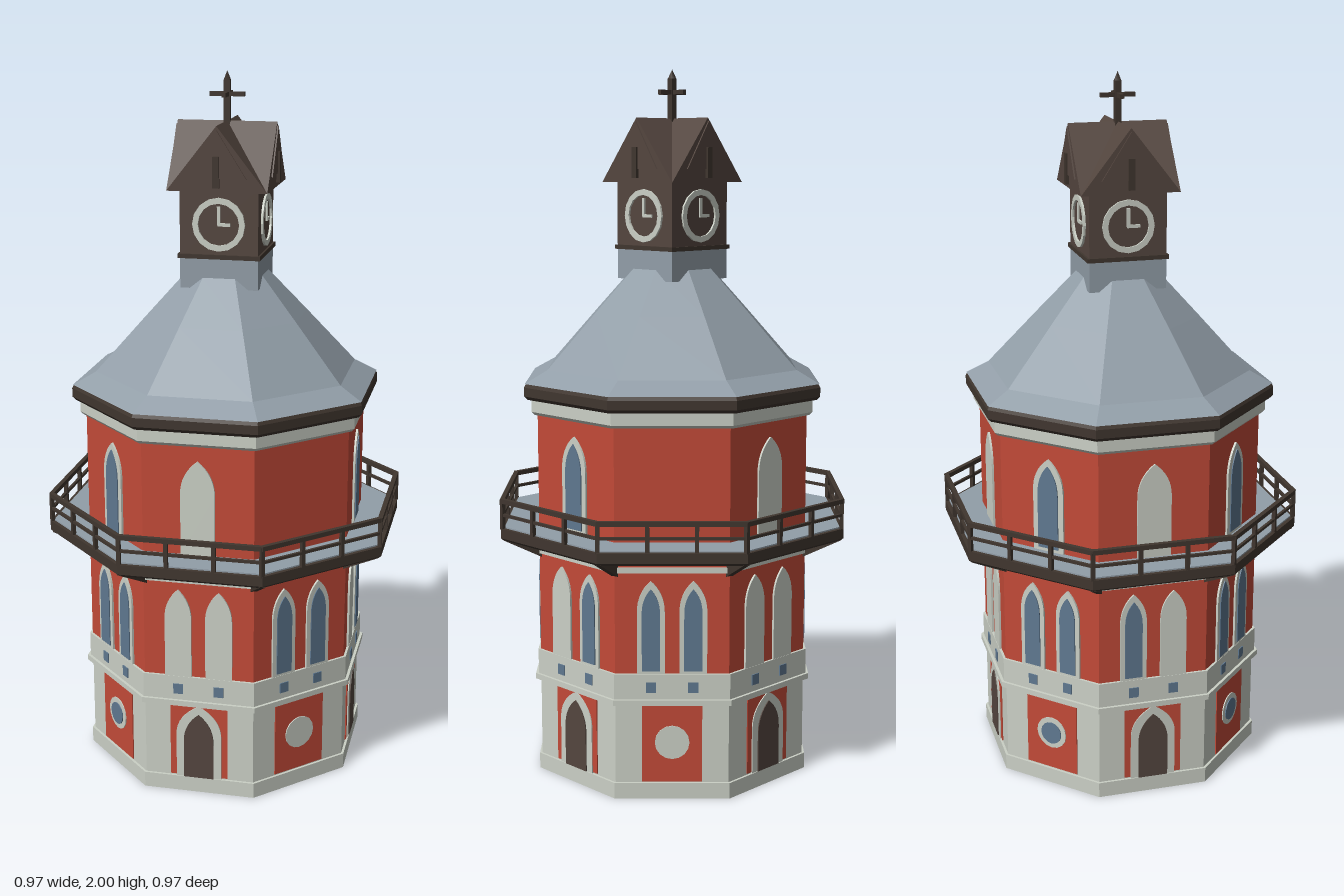
import * as THREE from 'three';

const mat = (name, color) => { const m = new THREE.MeshStandardMaterial({ color }); m.name = name; return m; };

export function createModel() {
  const red = mat('red brick', 0xc24a38), cream = mat('cream stone', 0xcbd0c6), slate = mat('grey slate', 0x929ea8);
  const brown = mat('brown timber', 0x54463f), dark = mat('dark timber', 0x40362f), glass = mat('blue glass', 0x5f7890);
  const root = new THREE.Group();
  root.name = 'clockTower';
  const TAN = Math.tan(Math.PI / 8), COS = Math.cos(Math.PI / 8);

  const add = (parent, name, geo, material, x = 0, y = 0, z = 0) => {
    const m = new THREE.Mesh(geo, material);
    m.name = name;
    m.position.set(x, y, z);
    parent.add(m);
    return m;
  };
  const box = (parent, name, material, w, h, d, x, y, z) =>
    add(parent, name, new THREE.BoxGeometry(w, h, d), material, x, y, z);

  // Closed octagonal solid from [apothem, y] pairs, with flat faces
  const octagon = (name, material, profile) => {
    const pts = profile.map(([r, y]) => new THREE.Vector2(r / COS, y));
    pts.unshift(new THREE.Vector2(0, pts[0].y));
    pts.push(new THREE.Vector2(0, pts[pts.length - 1].y));
    const geo = new THREE.LatheGeometry(pts, 8, Math.PI / 8).toNonIndexed();
    geo.computeVertexNormals();
    return add(root, name, geo, material);
  };
  const turned = (name, angle) => {
    const g = new THREE.Group();
    g.name = name;
    g.rotation.y = angle;
    root.add(g);
    return g;
  };
  const extrude = (shape, depth) => new THREE.ExtrudeGeometry(shape, { depth, bevelEnabled: false, curveSegments: 8 });

  // Pointed arch plate
  const arch = (parent, name, material, x, w, y0, spring, top, z, depth) => {
    const s = new THREE.Shape();
    const c = spring + (top - spring) * 0.62;
    s.moveTo(-w, y0);
    s.lineTo(w, y0);
    s.lineTo(w, spring);
    s.quadraticCurveTo(w, c, 0, top);
    s.quadraticCurveTo(-w, c, -w, spring);
    add(parent, name, extrude(s, depth), material, x, 0, z);
  };
  const disc = (parent, name, material, r, y, z, depth) => {
    const s = new THREE.Shape();
    s.absarc(0, 0, r, 0, Math.PI * 2);
    add(parent, name, extrude(s, depth), material, 0, y, z);
  };

  // Tower storeys, bands and roof
  const W = 0.378;
  octagon('plinth', cream, [[0.385, 0], [0.385, 0.045]]);
  octagon('groundFloor', cream, [[W, 0.045], [W, 0.275]]);
  octagon('beltLedge', cream, [[0.393, 0.272], [0.393, 0.288]]);
  octagon('belt', cream, [[0.385, 0.288], [0.385, 0.36]]);
  octagon('middleFloor', red, [[W, 0.36], [W, 0.70]]);
  octagon('stringCourse', cream, [[0.385, 0.645], [0.385, 0.66]]);
  octagon('balconySlab', dark, [[0.475, 0.69], [0.483, 0.697], [0.483, 0.725]]);
  octagon('balconyFloor', slate, [[0.472, 0.72], [0.472, 0.729]]);
  octagon('upperFloor', red, [[W, 0.725], [W, 1.05]]);
  octagon('cornice', cream, [[0.386, 1.043], [0.394, 1.052], [0.394, 1.09]]);
  octagon('eaves', dark, [[0.405, 1.087], [0.414, 1.097], [0.414, 1.122], [0.408, 1.134]]);
  octagon('roof', slate, [[0.412, 1.132], [0.35, 1.168], [0.215, 1.325], [0.11, 1.445]]);

  // Per side, from the front turning to +x: middle panes (1 glazed) and top window (null for none)
  const sides = [
    { mid: [0, 0], top: 0 }, { mid: [1, 1], top: null, round: 0 },
    { mid: [0, 1], top: 1 }, { mid: [1, 1], top: null, round: 0 },
    { mid: [0, 0], top: 0 }, { mid: [1, 1], top: 1, round: 1 },
    { mid: [1, 0], top: 0 }, { mid: [1, 1], top: 1, round: 1 },
  ];
  sides.forEach(({ mid, top, round }, i) => {
    const side = turned('towerSide', i * Math.PI / 4);
    // Ground floor panel with a door or a round window
    box(side, 'redPanel', red, 0.166, 0.222, 0.006, 0, 0.16, W);
    if (round === undefined) {
      arch(side, 'doorSurround', cream, 0, 0.065, 0.046, 0.18, 0.27, W, 0.006);
      arch(side, 'door', brown, 0, 0.043, 0.046, 0.16, 0.245, W, 0.009);
    } else {
      disc(side, 'roundWindowFrame', cream, 0.048, 0.163, W, 0.006);
      if (round) disc(side, 'roundWindowGlass', glass, 0.033, 0.163, W, 0.009);
    }
    // Belt openings and paired windows
    mid.forEach((glazed, k) => {
      const x = k ? 0.058 : -0.058;
      box(side, 'beltOpening', glass, 0.028, 0.03, 0.006, x, 0.322, 0.385);
      arch(side, 'windowSurround', cream, x, 0.038, 0.36, 0.535, 0.622, W, 0.006);
      if (glazed) arch(side, 'windowGlass', glass, x, 0.025, 0.368, 0.53, 0.6, W, 0.009);
    });
    // Upper window
    if (top !== null) {
      arch(side, 'upperWindowSurround', cream, 0, 0.048, 0.73, 0.905, 1.0, W, 0.006);
      if (top) arch(side, 'upperWindowGlass', glass, 0, 0.032, 0.74, 0.895, 0.98, W, 0.009);
    }
    // Balcony railing
    const r = 0.477, len = 2 * r * TAN;
    box(side, 'topRail', dark, len + 0.006, 0.013, 0.013, 0, 0.804, r);
    box(side, 'middleRail', dark, len + 0.004, 0.008, 0.008, 0, 0.764, r);
    for (let k = 0; k < 3; k++) box(side, 'railPost', dark, 0.011, 0.085, 0.011, (k / 3 - 0.5) * len, 0.765, r);
    // Corner bracket under the balcony
    const corner = turned('bracketCorner', (i + 0.5) * Math.PI / 4 - Math.PI / 2);
    const tri = new THREE.Shape([[W / COS - 0.01, 0.63], [0.478 / COS, 0.692], [W / COS - 0.01, 0.692]]
      .map(([x, y]) => new THREE.Vector2(x, y)));
    add(corner, 'bracket', extrude(tri, 0.018), dark, 0, 0, -0.009);
  });

  // Square lantern
  box(root, 'lanternNeck', slate, 0.22, 0.09, 0.22, 0, 1.46, 0);
  box(root, 'lanternBase', dark, 0.232, 0.012, 0.232, 0, 1.505, 0);
  box(root, 'clockStage', brown, 0.22, 0.19, 0.22, 0, 1.598, 0);

  // Cross-gabled cap: two slopes, a gable end and a soffit on each side
  const E = 0.14, Y0 = 1.688, Y1 = 1.865, verts = [];
  const L = [-E, Y0, E], R = [E, Y0, E], apex = [0, Y1, E], centre = [0, Y1, 0], under = [0, Y0, 0];
  for (const t of [[R, centre, apex], [L, apex, centre], [L, R, apex], [under, R, L]]) for (const p of t) verts.push(...p);
  const capGeo = new THREE.BufferGeometry();
  capGeo.setAttribute('position', new THREE.Float32BufferAttribute(verts, 3));
  capGeo.computeVertexNormals();

  for (let i = 0; i < 4; i++) {
    const side = turned('lanternSide', i * Math.PI / 2);
    add(side, 'gable', capGeo, brown);
    const panel = new THREE.Shape([[-0.083, 1.725], [0.083, 1.725], [0, 1.855]].map(([x, y]) => new THREE.Vector2(x, y)));
    add(side, 'gablePanel', extrude(panel, 0.004), brown, 0, 0, E);
    box(side, 'gablePost', dark, 0.018, 0.085, 0.016, 0, 1.742, 0.142);
    // Clock face
    const ring = new THREE.Shape();
    ring.absarc(0, 0, 0.074, 0, Math.PI * 2);
    const hole = new THREE.Path();
    hole.absarc(0, 0, 0.058, 0, Math.PI * 2, true);
    ring.holes.push(hole);
    add(side, 'clockRing', extrude(ring, 0.006), cream, 0, 1.595, 0.11);
    box(side, 'minuteHand', cream, 0.009, 0.052, 0.006, 0, 1.619, 0.112);
    box(side, 'hourHand', cream, 0.036, 0.009, 0.006, 0.015, 1.595, 0.112);
  }

  // Finial with crossed arms
  box(root, 'finialShaft', dark, 0.018, 0.12, 0.018, 0, 1.915, 0);
  add(root, 'finialTip', new THREE.ConeGeometry(0.0127, 0.027, 4).rotateY(Math.PI / 4), dark, 0, 1.9865, 0);
  box(root, 'finialArm', dark, 0.098, 0.012, 0.012, 0, 1.937, 0);
  box(root, 'finialArm', dark, 0.012, 0.012, 0.098, 0, 1.937, 0);
  return root;
}
